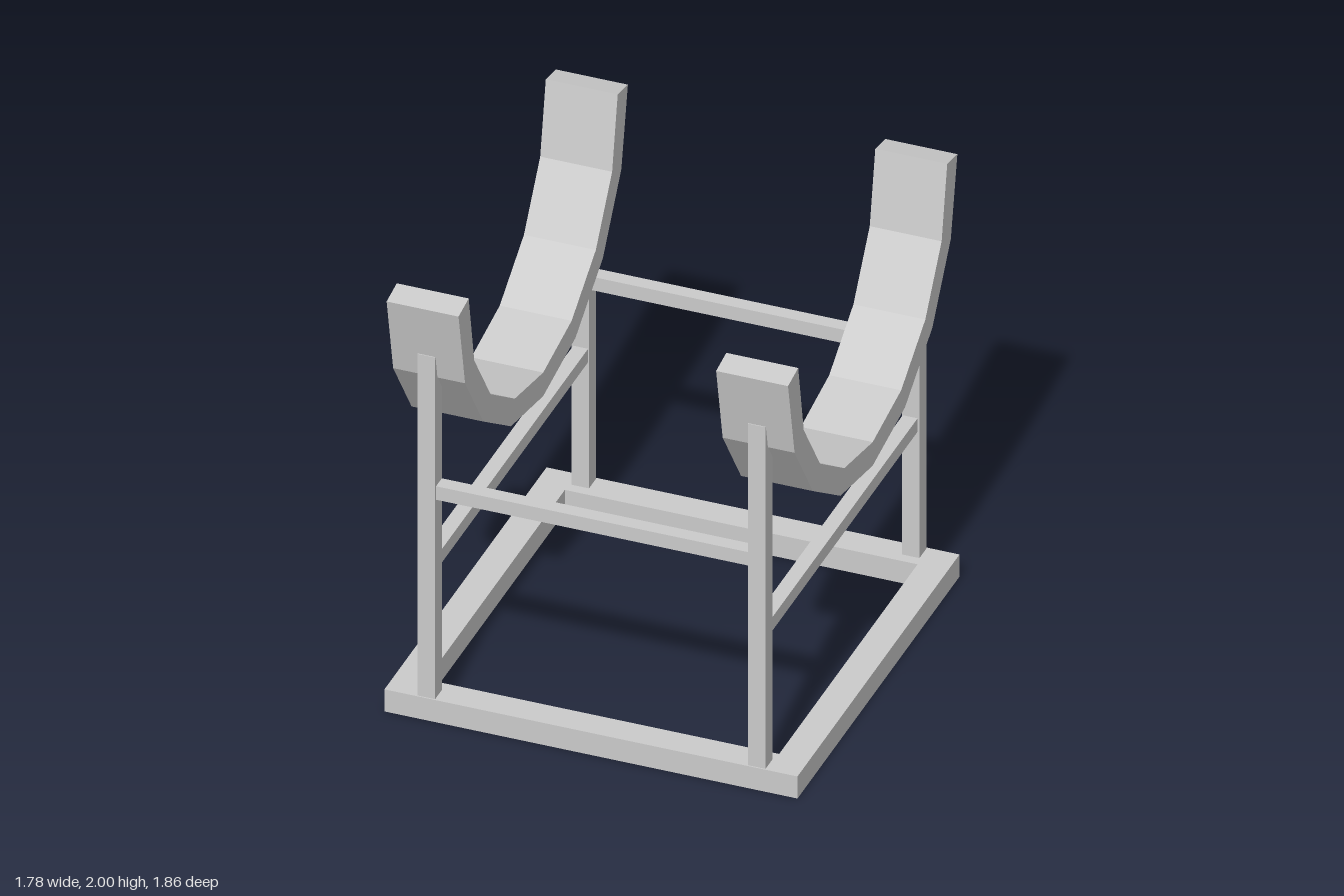
import * as THREE from 'three';

const material = new THREE.MeshStandardMaterial({ color: 0xcccccc, flatShading: true });

function add(parent, name, geometry, x = 0, y = 0, z = 0) {
  const mesh = new THREE.Mesh(geometry, material);
  mesh.name = name;
  mesh.position.set(x, y, z);
  parent.add(mesh);
  return mesh;
}

const square = (h) => [[-h, -h], [h, -h], [h, h], [-h, h]].map(([x, y]) => new THREE.Vector2(x, y));

// Square ring lying on the ground
function baseGeometry() {
  const shape = new THREE.Shape(square(0.89));
  shape.holes.push(new THREE.Path(square(0.76)));
  return new THREE.ExtrudeGeometry(shape, { depth: 0.105, bevelEnabled: false }).rotateX(-Math.PI / 2);
}

// Faceted U-shaped band, extruded across x
function cradleGeometry(width) {
  const outer = [[0, 1.05], [0.355, 1.117], [0.656, 1.318], [0.858, 1.62], [0.93, 1.98]];
  const inner = [[0, 1.162], [0.312, 1.223], [0.578, 1.402], [0.757, 1.668], [0.818, 2]];
  const mirrored = (half) => [...half.slice(1).reverse().map(([z, y]) => [-z, y]), ...half];
  const outline = [...mirrored(outer), ...mirrored(inner).reverse()];
  const shape = new THREE.Shape(outline.map(([z, y]) => new THREE.Vector2(z, y)));
  return new THREE.ExtrudeGeometry(shape, { depth: width, bevelEnabled: false })
    .translate(0, 0, -width / 2)
    .rotateY(-Math.PI / 2);
}

export function createModel() {
  const model = new THREE.Group();
  model.name = 'cradleStand';

  add(model, 'baseFrame', baseGeometry());

  const cradle = cradleGeometry(0.31);
  const post = new THREE.BoxGeometry(0.076, 1.63, 0.078);
  const sideRail = new THREE.BoxGeometry(0.064, 0.064, 1.63);
  const crossRail = new THREE.BoxGeometry(1.36, 0.064, 0.064);

  // Cradle, posts and side rail on each side
  for (const [side, s] of [['left', 1], ['right', -1]]) {
    add(model, side + 'Cradle', cradle, s * 0.71);
    add(model, side + 'SideRail', sideRail, s * 0.71, 0.736, 0);
    add(model, side + 'FrontPost', post, s * 0.712, 0.915, 0.845);
    add(model, side + 'BackPost', post, s * 0.712, 0.915, -0.845);
  }

  // Rails joining the two sides
  add(model, 'frontCrossRail', crossRail, 0, 1.08, 0.842);
  add(model, 'backCrossRail', crossRail, 0, 1.08, -0.842);

  return model;
}
